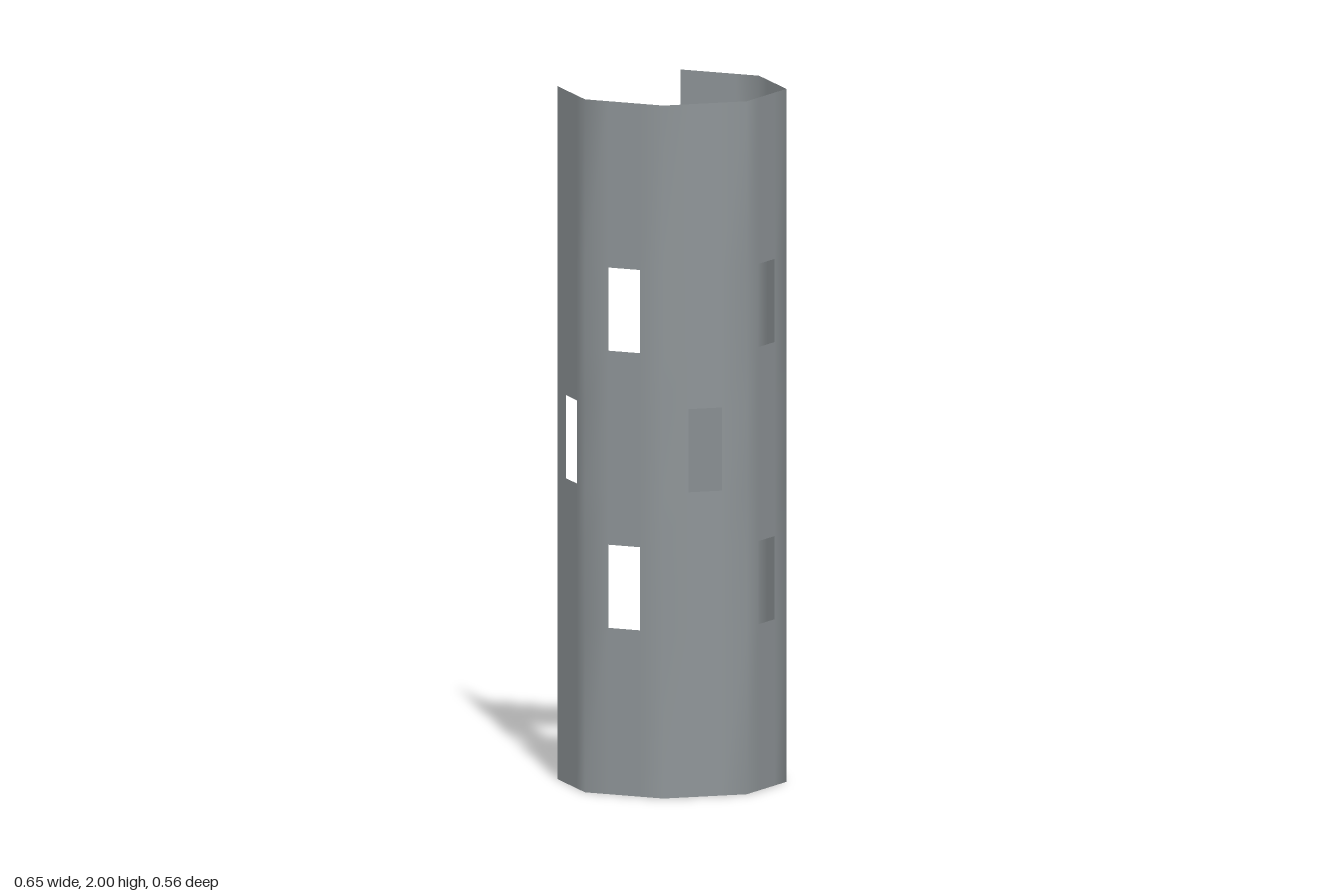
import * as THREE from 'three';

const RADIUS = 0.327;
const PANELS = 6; // six sides of an octagon, open at the back
const SHIFT = RADIUS * (1 - Math.SQRT1_2) / 2; // centres the open shell on z = 0
const ROWS = [0, 0.48, 0.72, 0.88, 1.12, 1.28, 1.52, 2];
const SPLITS = [0, 0.3, 0.7]; // window edges across each panel

const corner = (i) => {
  const a = (i - PANELS / 2) * Math.PI / 4;
  return new THREE.Vector2(RADIUS * Math.sin(a), RADIUS * Math.cos(a) - SHIFT);
};

// Panels alternate between one middle window and a pair above and below it
const isWindow = (col, row) => {
  if (col % 3 !== 1) return false;
  const panel = Math.floor(col / 3);
  return panel % 2 === 0 ? row === 3 : row === 1 || row === 5;
};

function shellGeometry() {
  // Plan outline, with extra points at the window edges
  const plan = [];
  for (let i = 0; i < PANELS; i++) {
    for (const t of SPLITS) plan.push(corner(i).lerp(corner(i + 1), t));
  }
  plan.push(corner(PANELS));

  const positions = [];
  for (const y of ROWS) for (const p of plan) positions.push(p.x, y, p.y);

  // Fill every cell except the windows
  const index = [];
  const n = plan.length;
  for (let r = 0; r < ROWS.length - 1; r++) {
    for (let c = 0; c < n - 1; c++) {
      if (isWindow(c, r)) continue;
      const a = r * n + c;
      index.push(a, a + 1, a + n + 1, a, a + n + 1, a + n);
    }
  }

  const geometry = new THREE.BufferGeometry();
  geometry.setAttribute('position', new THREE.Float32BufferAttribute(positions, 3));
  geometry.setIndex(index);
  geometry.computeVertexNormals();
  return geometry;
}

export function createModel() {
  const grey = new THREE.MeshStandardMaterial({ color: 0x8f9598 });
  grey.name = 'concreteGrey';
  grey.side = THREE.DoubleSide;

  const shell = new THREE.Mesh(shellGeometry(), grey);
  shell.name = 'towerWall';

  const group = new THREE.Group();
  group.name = 'openTower';
  group.add(shell);
  return group;
}
